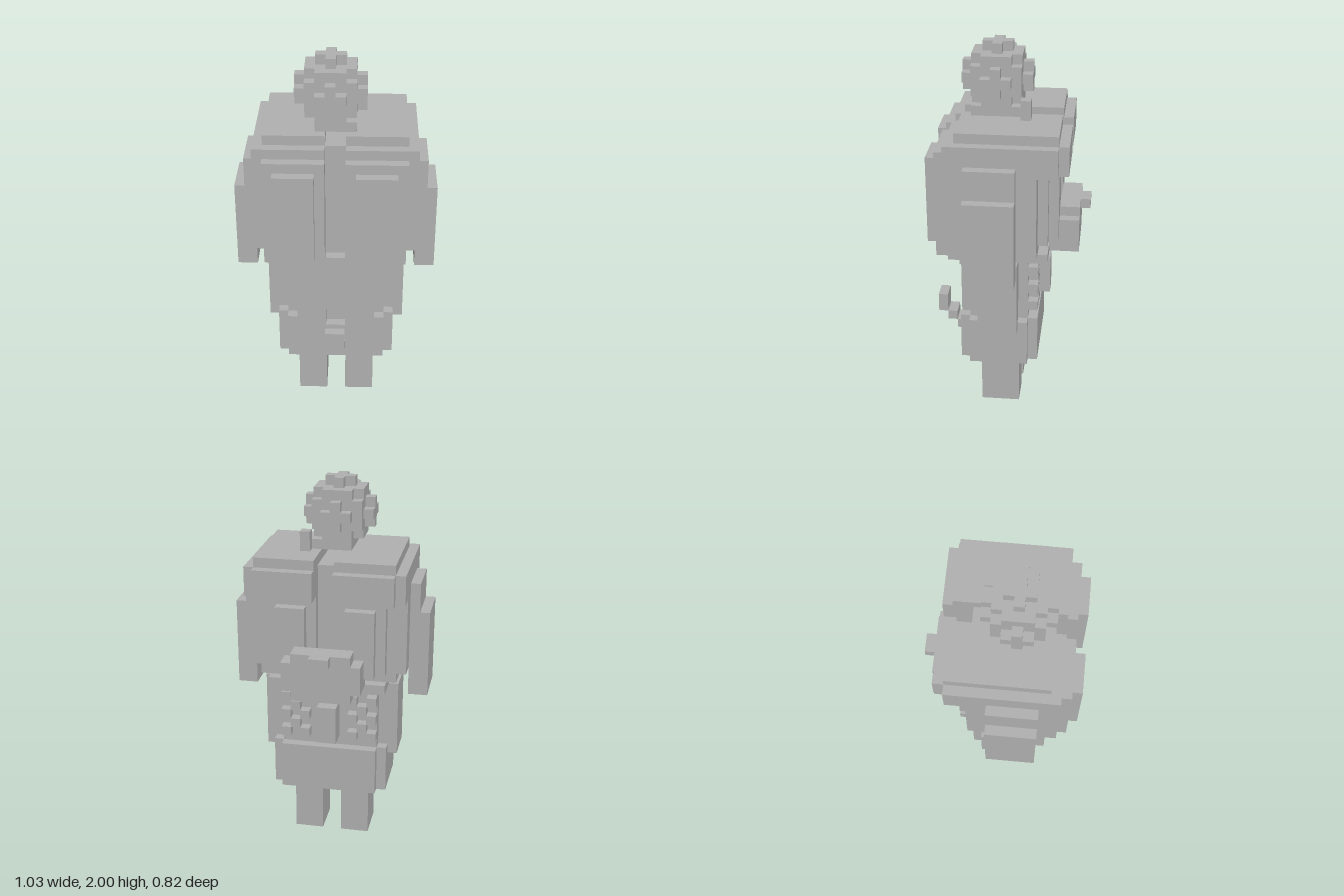
import * as THREE from 'three';

export function createModel() {
  const U = 2 / 39; // one block
  const grey = new THREE.MeshStandardMaterial({ color: 0xb0b0b0 });
  grey.name = 'stone grey';
  const model = new THREE.Group();
  model.name = 'blockFigure';

  // A box given by its edges, in blocks
  function box(name, x0, x1, y0, y1, z0, z1) {
    const g = new THREE.BoxGeometry((x1 - x0) * U, (y1 - y0) * U, (z1 - z0) * U);
    const m = new THREE.Mesh(g, grey);
    m.name = name;
    m.position.set((x0 + x1) / 2 * U, (y0 + y1) / 2 * U, (z0 + z1) / 2 * U);
    model.add(m);
  }
  // The same box on the left and the right
  function pair(name, x0, x1, ...rest) {
    box('left ' + name, x0, x1, ...rest);
    box('right ' + name, -x1, -x0, ...rest);
  }

  // Head: a ball of blocks, one full-length bar for each column
  for (let dx = -3; dx <= 3; dx++) {
    for (let dy = -3; dy <= 3; dy++) {
      const left = 10 - dx * dx - dy * dy;
      if (left < 0) continue;
      const r = Math.floor(Math.sqrt(left));
      box('head', dx - 1, dx, 35 + dy, 36 + dy, 1 - r, 2 + r);
    }
  }
  box('neck', -2, 2, 32, 33, -1, 4);
  box('shoulderPeg', 2, 3, 32, 34, -2, -1);

  // Torso
  box('torsoCore', -1, 1, 19, 31, -3, 5);
  box('waist', -6, 6, 18, 19, -4, 6);
  pair('torsoSide', 1, 7, 19, 31, -3, 6);
  pair('shoulderTop', 1, 7, 31, 32, -5, 5);
  pair('shoulderRim', 7, 8, 29, 31, -5, 6);
  pair('flankPlate', 7, 8, 20, 29, -3, 6);
  pair('backYoke', 1, 7, 28, 31, -6, -3);
  pair('backYokeEnd', 7, 8, 28, 31, -5, -3);
  pair('chestPlate', 1, 7, 19, 30, 6, 7);
  pair('chestPanel', 2, 6, 20, 29, 7, 8);
  pair('backPlate', 1, 6, 20, 28, -4, -3);
  pair('backPanel', 2, 5, 20, 27, -5, -4);

  // Arms
  pair('upperArm', 8, 9, 17, 29, -1, 4);
  pair('outerArm', 9, 10, 17, 26, -1, 4);

  // Pack on the lower back
  box('pack', -4, 4, 19, 22, -7, -4);
  box('packBase', -3, 3, 18, 19, -7, -4);
  box('packTop', -3, 3, 22, 23, -7, -5);
  box('packKnob', -1, 1, 22, 23, -8, -7);
  box('backStrap', -1, 1, 12, 16, -4, -2);

  // Hips, with a small opening in the front and cut corners
  box('hips', -5, 5, 6, 18, -2, 4);
  pair('hipFront', 1, 4, 6, 18, 4, 5);
  box('hipFrontUpper', -1, 1, 12, 18, 4, 5);
  box('hipFrontLower', -1, 1, 6, 10, 4, 5);
  pair('hipCornerTop', 4, 5, 17, 18, 4, 5);
  pair('hipCornerLow', 4, 5, 6, 11, 4, 5);
  pair('sidePod', 5, 7, 10, 18, -1, 3);
  pair('skirtSide', 5, 6, 6, 11, -2, 4);
  box('skirtBack', -5, 5, 6, 11, -3, -2);

  // Small studs on the back of the hips
  for (const [x, y] of [[2, 16], [4, 16], [3, 15], [2, 14], [4, 14], [3, 13], [2, 12], [4, 12]]) {
    pair('backStud', x, x + 1, y, y + 1, -3, -2);
  }

  // Stepped spout on the front
  box('spoutBase', -1, 1, 7, 8, 5, 6);
  box('spoutMiddle', -1, 1, 8, 9, 6, 7);
  box('spoutTip', -1, 1, 9, 11, 7, 8);

  // Legs
  pair('leg', 1, 4, 0, 6, -1, 3);

  return model;
}
